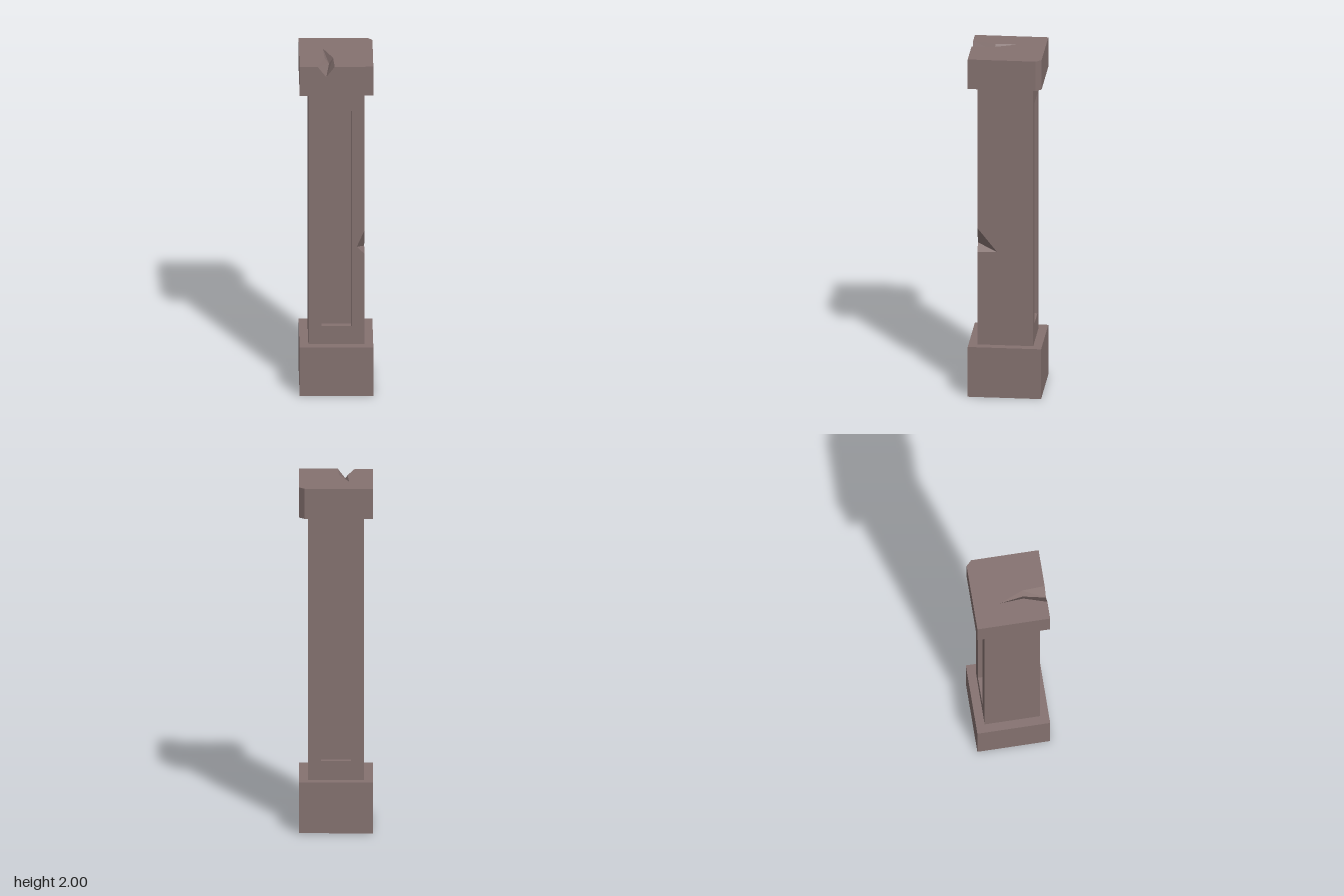
import * as THREE from 'three';
import { mergeGeometries } from 'three/addons/utils/BufferGeometryUtils.js';

const P = (x, y, z) => new THREE.Vector3(x, y, z);
const turn = (p) => P(-p.x, p.y, -p.z); // half turn about the y axis

// Flat face from corners listed anticlockwise as seen from outside, with an optional hole
function face(pts, hole = []) {
  const n = P(0, 0, 0);
  pts.forEach((p, i) => n.add(p.clone().cross(pts[(i + 1) % pts.length])));
  n.normalize();
  const u = Math.abs(n.y) > 0.9 ? P(1, 0, 0) : P(0, 1, 0);
  u.addScaledVector(n, -u.dot(n)).normalize();
  const v = n.clone().cross(u);
  const flat = (list) => list.map((p) => new THREE.Vector2(p.dot(u), p.dot(v)));
  const tris = THREE.ShapeUtils.triangulateShape(flat(pts), hole.length ? [flat(hole)] : []);
  const all = [...pts, ...hole];
  const geo = new THREE.BufferGeometry().setFromPoints(tris.flat().map((i) => all[i]));
  geo.computeVertexNormals();
  return geo;
}

export function createModel() {
  const group = new THREE.Group();
  const stone = new THREE.MeshStandardMaterial({ color: 0x857270 });
  stone.name = 'stone';
  const add = (name, geo) => {
    const mesh = new THREE.Mesh(Array.isArray(geo) ? mergeGeometries(geo) : geo, stone);
    mesh.name = name;
    group.add(mesh);
    return mesh;
  };

  const H = 0.206, S = 0.157; // half widths of the blocks and the shaft
  const y0 = 0.295, y1 = 1.825, top = 2;

  // Base block
  add('base', new THREE.BoxGeometry(2 * H, y0, 2 * H)).position.y = y0 / 2;

  // Chip on the front corner of the shaft
  const chipTop = P(S, 0.985, S), chipLow = P(S, 0.843, S);
  const chipFront = P(0.114, 0.885, S), chipSide = P(S, 0.845, 0.045);
  add('shaftChip', [
    face([chipTop, chipFront, chipSide]),
    face([chipFront, chipLow, chipSide]),
  ]);

  // Shaft walls, front and back pierced for the panels
  const rect = (w, a, b, z) => [P(-w, a, z), P(w, a, z), P(w, b, z), P(-w, b, z)];
  const rim = rect(0.083, 0.405, 1.71, S);
  const floor = rect(0.083, 0.405, 1.71, S - 0.036);
  const wall = rect(S, y0, y1, S);
  add('shaft', [
    face([wall[0], wall[1], chipLow, chipFront, chipTop, wall[2], wall[3]], rim),
    face(wall.map(turn), rim.map(turn)),
    face([P(S, y0, S), P(S, y0, -S), P(S, y1, -S), P(S, y1, S), chipTop, chipSide, chipLow]),
    face([P(-S, y0, -S), P(-S, y0, S), P(-S, y1, S), P(-S, y1, -S)]),
  ]);

  // Recessed panels
  const same = (p) => p;
  for (const [name, move] of [['frontPanel', same], ['backPanel', turn]]) {
    const sides = rim.map((p, i) => {
      const j = (i + 1) % 4;
      return face([p, rim[j], floor[j], floor[i]].map(move));
    });
    add(name, [face(floor.map(move)), ...sides]);
  }

  // Crack in the cap: left lip, valley and right lip at the front and midway, then the tip
  const [l0, v0, r0] = [P(-0.105, top, H), P(-0.057, 1.938, H), P(-0.01, top, H)];
  const [l1, v1, r1] = [P(-0.065, top, 0.077), P(-0.04, 1.965, 0.077), P(-0.017, top, 0.077)];
  const tip = P(-0.073, top, -0.057);
  add('capCrack', [
    face([l0, v0, v1, l1]), face([l1, v1, tip]),
    face([v0, r0, r1, v1]), face([v1, r1, tip]),
  ]);

  // Cap block with one bevelled back corner
  const c = 0.03;
  const outline = [[-H, H], [H, H], [H, -H + c], [H - c, -H], [-H, -H]];
  const upper = outline.map(([x, z]) => P(x, top, z));
  const lower = outline.map(([x, z]) => P(x, y1, z));
  const capFaces = [
    face([upper[0], l0, l1, tip, r1, r0, ...upper.slice(1)]),
    face([...lower].reverse()),
    face([lower[0], lower[1], upper[1], r0, v0, l0, upper[0]]),
  ];
  for (let i = 1; i < 5; i++) {
    const j = (i + 1) % 5;
    capFaces.push(face([lower[i], lower[j], upper[j], upper[i]]));
  }
  add('cap', capFaces);

  return group;
}
